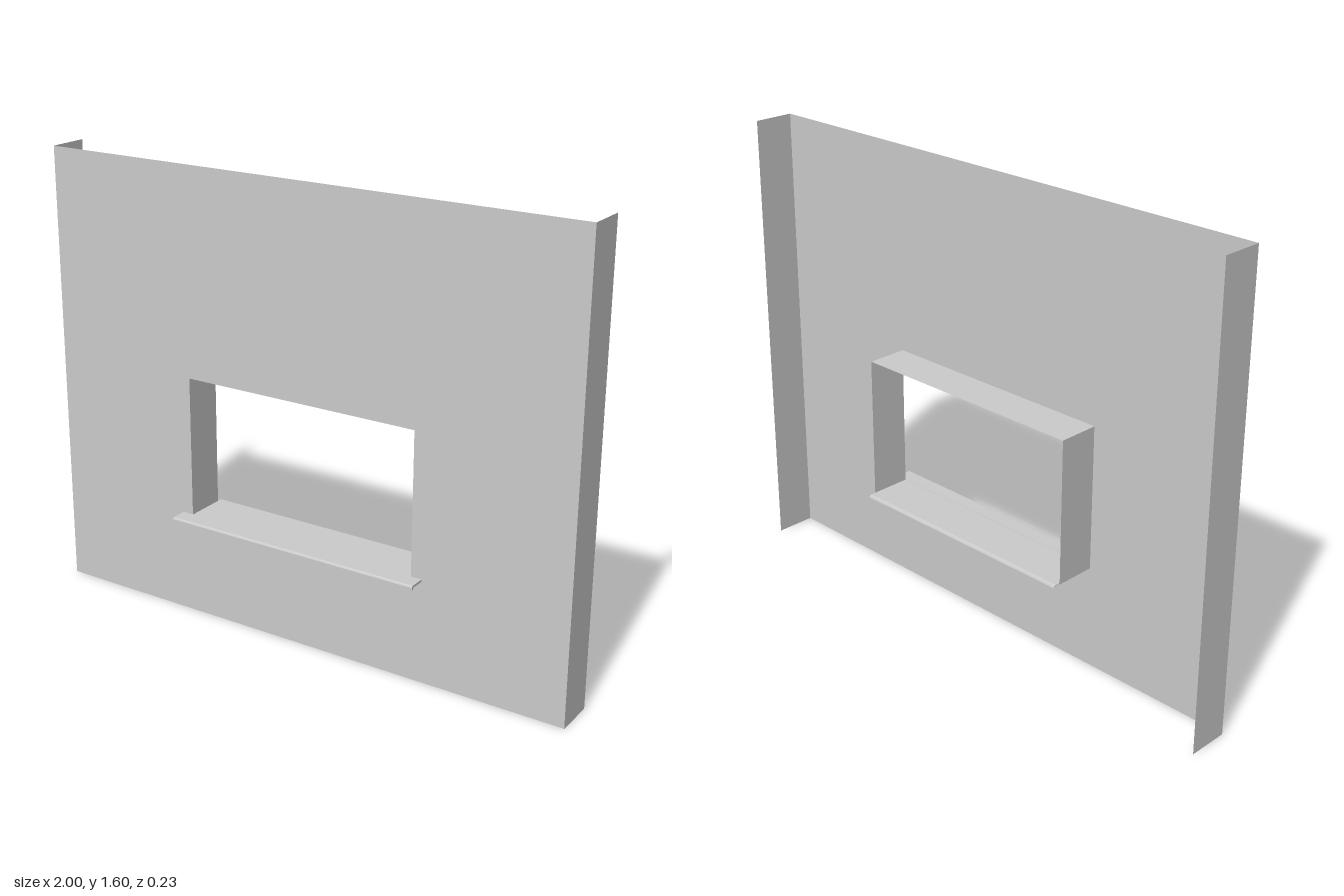
import * as THREE from 'three';

const FRONT = 0.055, BACK = -0.09, DEPTH = FRONT - BACK, MID = (FRONT + BACK) / 2;
const HEIGHT = 1.6;
const OPEN = { x: 0.44, bottom: 0.363, top: 0.87 };

const sheet = new THREE.MeshStandardMaterial({ color: 0xcccccc, side: THREE.DoubleSide });

function add(parent, name, geometry) {
  const mesh = new THREE.Mesh(geometry, sheet);
  mesh.name = name;
  parent.add(mesh);
  return mesh;
}

// Extrudes a closed [z, y] profile across the width, centred on x = 0
function extrudeAcross(profile, width) {
  const shape = new THREE.Shape(profile.map(([z, y]) => new THREE.Vector2(z, y)));
  return new THREE.ExtrudeGeometry(shape, { depth: width, bevelEnabled: false })
    .translate(0, 0, -width / 2)
    .rotateY(-Math.PI / 2);
}

export function createModel() {
  const model = new THREE.Group();
  model.name = 'wallWithWindowOpening';

  // Front skin with the window opening cut out
  const face = new THREE.Shape([
    new THREE.Vector2(-1, 0), new THREE.Vector2(1, 0),
    new THREE.Vector2(1, HEIGHT), new THREE.Vector2(-1, HEIGHT),
  ]);
  face.holes.push(new THREE.Path([
    new THREE.Vector2(-OPEN.x, OPEN.bottom), new THREE.Vector2(-OPEN.x, OPEN.top),
    new THREE.Vector2(OPEN.x, OPEN.top), new THREE.Vector2(OPEN.x, OPEN.bottom),
  ]));
  add(model, 'wallFace', new THREE.ShapeGeometry(face)).position.z = FRONT;

  // Wall ends and the side reveals of the opening, all thin open sheets
  const openHeight = OPEN.top - OPEN.bottom;
  for (const [side, s] of [['left', 1], ['right', -1]]) {
    add(model, side + 'WallEnd', new THREE.PlaneGeometry(DEPTH, HEIGHT).rotateY(s * Math.PI / 2))
      .position.set(s, HEIGHT / 2, MID);
    add(model, side + 'Reveal', new THREE.PlaneGeometry(DEPTH, openHeight).rotateY(-s * Math.PI / 2))
      .position.set(s * OPEN.x, OPEN.bottom + openHeight / 2, MID);
  }

  // Underside of the lintel
  add(model, 'headReveal', new THREE.PlaneGeometry(OPEN.x * 2, DEPTH).rotateX(-Math.PI / 2))
    .position.set(0, OPEN.top, MID);

  // Sill: a thin board through the opening, with a turned-down lip inside
  const sill = new THREE.Group();
  sill.name = 'windowSill';
  model.add(sill);
  add(sill, 'sillBoard', extrudeAcross([
    [FRONT, 0.369], [-0.108, 0.369], [-0.114, 0.367], [-0.117, 0.361],
    [-0.115, 0.361], [-0.112, 0.365], [-0.107, 0.367], [FRONT, 0.367],
  ], OPEN.x * 2));

  // Wider outer nosing with a drip edge
  add(sill, 'sillNosing', extrudeAcross([
    [FRONT, 0.362], [0.108, 0.362], [0.109, 0.361], [0.109, 0.355],
    [0.116, 0.355], [0.116, 0.364], [0.114, 0.368], [0.11, 0.37], [FRONT, 0.37],
  ], 0.96));

  return model;
}
